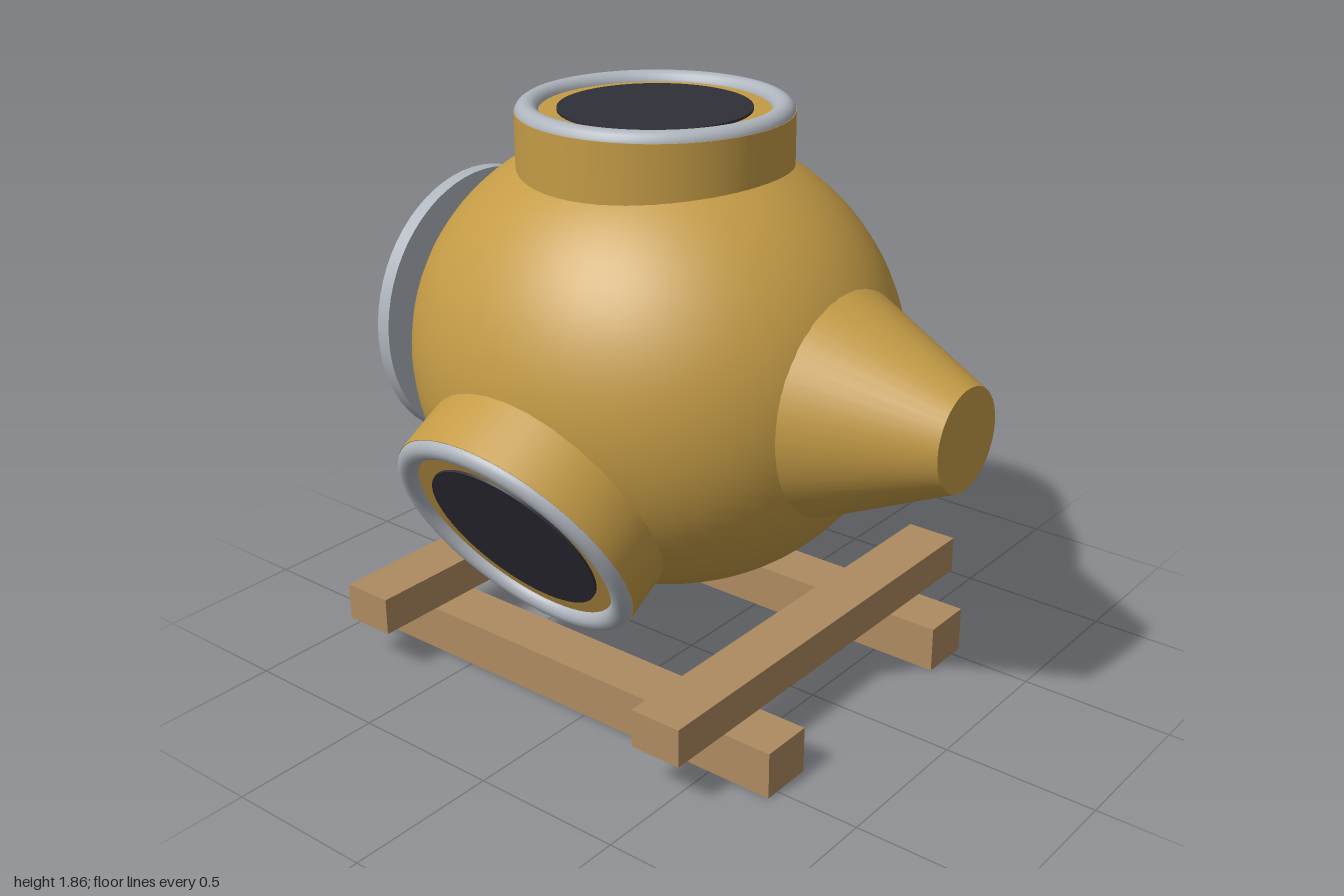
import * as THREE from 'three';

const CX = -0.14, CY = 1.04; // centre of the vessel

export function createModel() {
  const model = new THREE.Group();
  model.name = 'portedVesselOnSkid';

  const material = (name, color) => {
    const m = new THREE.MeshStandardMaterial({ color });
    m.name = name;
    return m;
  };
  const brass = material('brass', 0xc49b46);
  const steel = material('steel', 0xafb5bd);
  const dark = material('darkGlass', 0x2f2f39);
  const wood = material('wood', 0xae8b60);

  const add = (parent, name, geometry, mat, x = 0, y = 0, z = 0) => {
    const mesh = new THREE.Mesh(geometry, mat);
    mesh.name = name;
    mesh.position.set(x, y, z);
    parent.add(mesh);
    return mesh;
  };

  // Body, slightly stretched along x
  const body = add(model, 'body', new THREE.SphereGeometry(0.74, 64, 48), brass, CX, CY, 0);
  body.scale.x = 0.82 / 0.74;

  // Three ports spaced evenly around the x axis
  ['topPort', 'frontPort', 'backPort'].forEach((name, i) => {
    const port = new THREE.Group();
    port.name = name;
    port.position.set(CX, CY, 0);
    port.rotation.x = (i * Math.PI * 2) / 3;
    add(port, 'portNeck', new THREE.CylinderGeometry(0.43, 0.43, 0.39, 64), brass, 0, 0.595, 0);
    const ring = add(port, 'portRing', new THREE.TorusGeometry(0.392, 0.037, 16, 64), steel, 0, 0.784, 0);
    ring.rotation.x = Math.PI / 2;
    add(port, 'portWindow', new THREE.CylinderGeometry(0.3, 0.3, 0.008, 64), dark, 0, 0.794, 0);
    model.add(port);
  });

  // Tapered nozzle on the left side
  const nozzle = add(model, 'nozzle', new THREE.CylinderGeometry(0.16, 0.389, 0.5, 48), brass, 0.75, CY, 0);
  nozzle.rotation.z = -Math.PI / 2;

  // Flange plate on the right side, with the body bulging through it
  const flange = add(model, 'flange', new THREE.CylinderGeometry(0.47, 0.47, 0.05, 64), steel, -0.91, CY, 0);
  flange.rotation.z = Math.PI / 2;

  // Timber skid: two runners and two cross beams
  for (const s of [-1, 1]) {
    add(model, 'runner', new THREE.BoxGeometry(1.72, 0.153, 0.178), wood, -0.14, 0.0765, s * 0.455);
    add(model, 'crossBeam', new THREE.BoxGeometry(0.175, 0.125, 1.52), wood, -0.14 + s * 0.607, 0.2155, 0);
  }

  return model;
}
